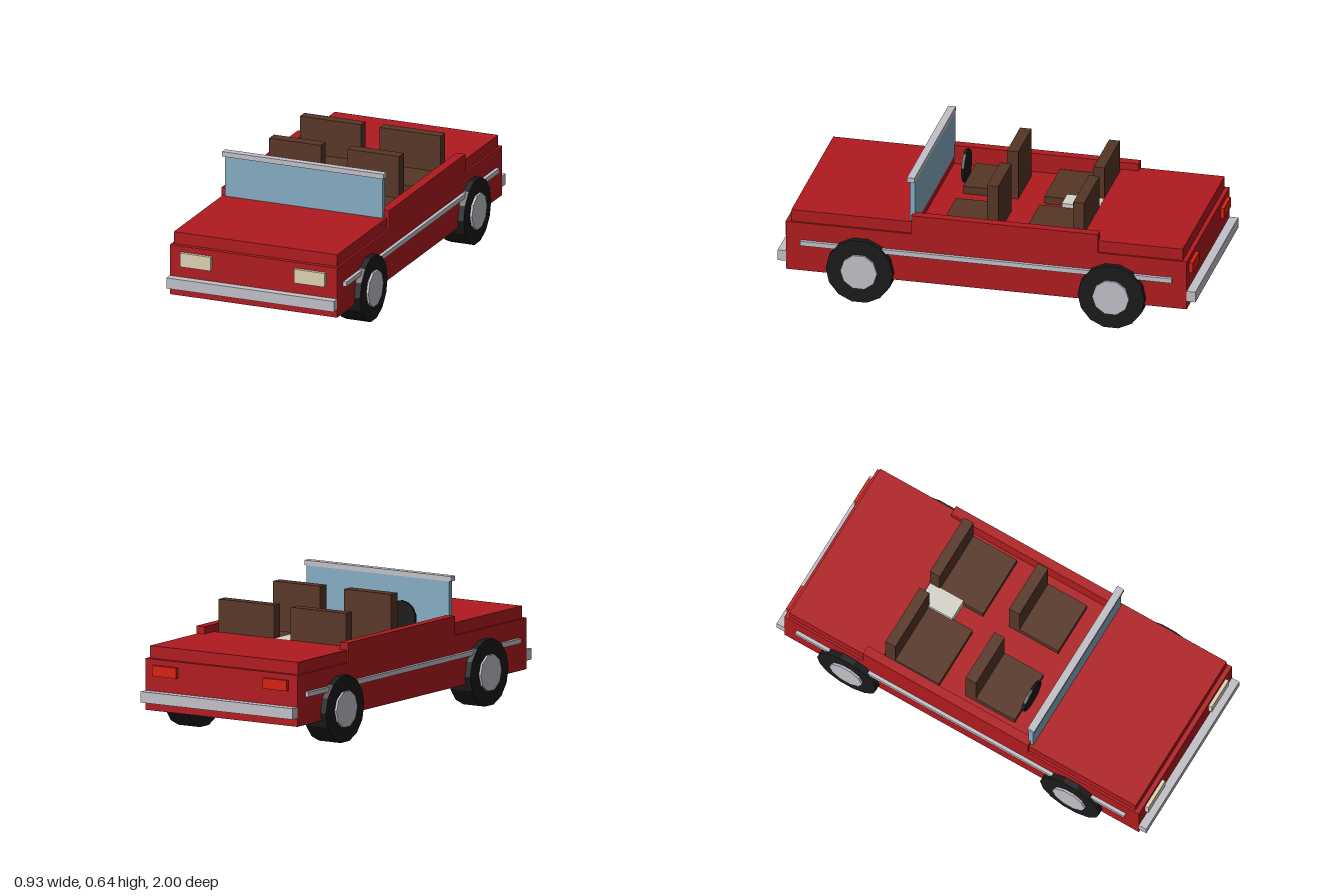
import * as THREE from 'three';

const material = (color) => new THREE.MeshStandardMaterial({ color, flatShading: true });
const RED = material(0xb01a1e);
const CHROME = material(0xc2c0c8);
const BROWN = material(0x573626);
const BLACK = material(0x1a1a1a);
const GLASS = material(0x84adc2);
const CREAM = material(0xded2b4);
const CONSOLE = material(0xd6d4ca);
const TAIL = material(0xd8200f);

export function createModel() {
  const car = new THREE.Group();
  car.name = 'convertible';

  // Box given by its extents along each axis
  const box = (name, mat, [x0, x1], [y0, y1], [z0, z1]) => {
    const mesh = new THREE.Mesh(new THREE.BoxGeometry(x1 - x0, y1 - y0, z1 - z0), mat);
    mesh.position.set((x0 + x1) / 2, (y0 + y1) / 2, (z0 + z1) / 2);
    mesh.name = name;
    car.add(mesh);
  };
  // Same box on both sides of the car
  const pair = (name, mat, [x0, x1], y, z) => {
    box(name + 'Left', mat, [x0, x1], y, z);
    box(name + 'Right', mat, [-x1, -x0], y, z);
  };
  // Cylinder lying along x or z
  const disc = (name, mat, radius, width, sides, axis, x, y, z) => {
    const geometry = new THREE.CylinderGeometry(radius, radius, width, sides);
    if (axis === 'x') geometry.rotateZ(Math.PI / 2);
    else geometry.rotateX(Math.PI / 2);
    const mesh = new THREE.Mesh(geometry, mat);
    mesh.position.set(x, y, z);
    mesh.name = name;
    car.add(mesh);
  };

  // Body shell
  box('lowerBody', RED, [-0.425, 0.425], [0.12, 0.363], [-0.958, 0.96]);
  box('hood', RED, [-0.415, 0.415], [0.363, 0.421], [0.35, 0.937]);
  box('trunk', RED, [-0.415, 0.415], [0.363, 0.421], [-0.937, -0.45]);
  pair('sideWall', RED, [0.38, 0.425], [0.363, 0.456], [-0.533, 0.36]);

  // Windshield and its top rail
  box('windshield', GLASS, [-0.4, 0.4], [0.4, 0.618], [0.349, 0.373]);
  box('windshieldRail', CHROME, [-0.41, 0.41], [0.618, 0.642], [0.349, 0.385]);

  // Bumpers, side trim and lights
  box('frontBumper', CHROME, [-0.425, 0.425], [0.16, 0.212], [0.96, 1]);
  box('rearBumper', CHROME, [-0.425, 0.425], [0.16, 0.212], [-1, -0.958]);
  pair('sideTrim', CHROME, [0.425, 0.442], [0.253, 0.276], [-0.89, 0.89]);
  pair('headlight', CREAM, [0.212, 0.367], [0.267, 0.335], [0.96, 0.977]);
  pair('tailLight', TAIL, [0.243, 0.376], [0.286, 0.336], [-0.976, -0.958]);

  // Seats
  pair('frontCushion', BROWN, [0.067, 0.33], [0.363, 0.4], [-0.03, 0.232]);
  pair('frontSeatBack', BROWN, [0.067, 0.33], [0.363, 0.605], [-0.033, 0.022]);
  pair('rearCushion', BROWN, [0.047, 0.357], [0.363, 0.4], [-0.45, -0.163]);
  pair('rearSeatBack', BROWN, [0.047, 0.357], [0.363, 0.577], [-0.45, -0.398]);
  box('centreConsole', CONSOLE, [-0.054, 0.052], [0.363, 0.42], [-0.449, -0.27]);

  // Steering wheel
  disc('steeringWheel', BLACK, 0.08, 0.015, 14, 'z', -0.202, 0.445, 0.247);

  // Wheels with hubcaps
  for (const side of [-1, 1]) {
    for (const z of [-0.603, 0.603]) {
      disc('tire', BLACK, 0.16, 0.122, 14, 'x', side * 0.394, 0.157, z);
      disc('hubcap', CHROME, 0.088, 0.03, 10, 'x', side * 0.451, 0.157, z);
    }
  }
  return car;
}
